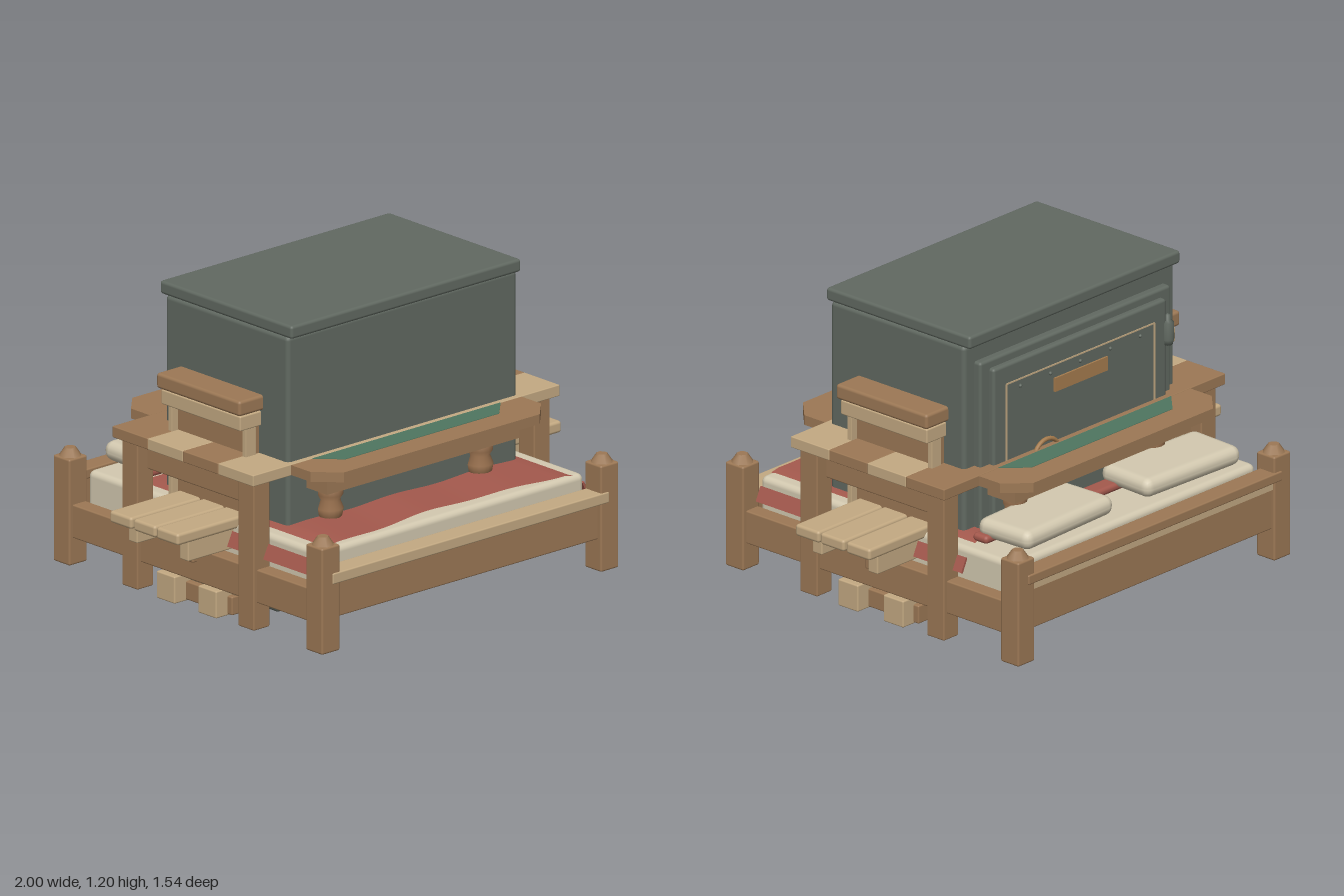
import * as THREE from 'three';
import { RoundedBoxGeometry } from 'three/addons/geometries/RoundedBoxGeometry.js';

const mat = (name, color) => {
  const m = new THREE.MeshStandardMaterial({ color });
  m.name = name;
  return m;
};

export function createModel() {
  const root = new THREE.Group();
  root.name = 'furnitureStack';
  const iron = mat('darkIron', 0x616961), wood = mat('brownWood', 0x9c7855);
  const tan = mat('paleWood', 0xc3a982), cream = mat('creamLinen', 0xd3c9b0);
  const red = mat('redBlanket', 0xa4594d), green = mat('greenFelt', 0x4f7660);
  const turned = mat('turnedWood', 0x9c7350), brass = mat('brass', 0xa67c4e);
  red.side = THREE.DoubleSide;

  const group = (name) => {
    const g = new THREE.Group();
    g.name = name;
    root.add(g);
    return g;
  };
  const add = (g, name, geo, m, x = 0, y = 0, z = 0) => {
    const o = new THREE.Mesh(geo, m);
    o.name = name;
    o.position.set(x, y, z);
    g.add(o);
    return o;
  };
  // Box from its limits, with edges softened by r
  const box = (g, name, m, x0, x1, y0, y1, z0, z1, r = 0.006) => {
    const w = x1 - x0, h = y1 - y0, d = z1 - z0;
    const geo = r ? new RoundedBoxGeometry(w, h, d, 2, r) : new THREE.BoxGeometry(w, h, d);
    return add(g, name, geo, m, (x0 + x1) / 2, (y0 + y1) / 2, (z0 + z1) / 2);
  };
  const lathe = (pts) => new THREE.LatheGeometry(pts.map(([r, y]) => new THREE.Vector2(r, y)), 16);
  // Flat slab with cut corners
  const octagon = (x, z, cut, h) => {
    const a = x - cut, b = z - cut;
    const s = new THREE.Shape([[x, b], [a, z], [-a, z], [-x, b], [-x, -b], [-a, -z], [a, -z], [x, -b]]
      .map(([u, v]) => new THREE.Vector2(u, v)));
    return new THREE.ExtrudeGeometry(s, { depth: h, bevelEnabled: false }).rotateX(-Math.PI / 2);
  };
  const S = [-1, 1];

  // Safe
  const safe = group('safe');
  box(safe, 'body', iron, -0.597, 0.597, 0.12, 1.15, -0.32, 0.378, 0.018);
  box(safe, 'plinth', iron, -0.575, 0.575, 0.085, 0.135, -0.29, 0.29, 0.015);
  box(safe, 'topSlab', iron, -0.598, 0.598, 1.147, 1.2, -0.35, 0.4, 0.012);
  box(safe, 'doorFrame', iron, -0.54, 0.54, 0.2, 1.075, -0.352, -0.3, 0.012);
  box(safe, 'door', iron, -0.49, 0.49, 0.25, 1.04, -0.376, -0.33, 0.012);
  box(safe, 'namePlate', brass, -0.15, 0.15, 0.848, 0.905, -0.384, -0.375, 0);
  for (const y of [0.34, 0.96]) box(safe, 'doorLine', tan, -0.42, 0.42, y - 0.003, y + 0.003, -0.379, -0.375, 0);
  for (const s of S) box(safe, 'doorLine', tan, s * 0.42 - 0.003, s * 0.42 + 0.003, 0.34, 0.96, -0.379, -0.375, 0);
  for (let i = -2; i <= 2; i++) add(safe, 'rivet', new THREE.SphereGeometry(0.008, 8, 6), iron, i * 0.17, 0.93, -0.376);
  add(safe, 'ringHandle', new THREE.TorusGeometry(0.075, 0.009, 8, 24), brass, 0.2, 0.595, -0.385);
  add(safe, 'doorHandle', lathe([[0, -0.065], [0.02, -0.062], [0.026, -0.04], [0.025, 0.03], [0.012, 0.04], [0.012, 0.06], [0, 0.065]]),
    iron, -0.5, 0.91, -0.372);
  for (const s of S) for (const t of S) {
    add(safe, 'foot', new RoundedBoxGeometry(0.21, 0.11, 0.09, 2, 0.015), iron, s * 0.465, 0.06, t * 0.245);
    add(safe, 'coneFoot', lathe([[0, 0], [0.056, 0], [0.054, 0.02], [0.03, 0.07], [0.032, 0.1], [0, 0.1]]), iron, s * 0.2, 0, t * 0.24);
  }

  // Bed frame
  const bed = group('bed');
  for (const s of S) {
    for (const t of S) {
      box(bed, 'post', wood, s * 0.726 - 0.047, s * 0.726 + 0.047, 0, 0.43, t * 0.717 - 0.047, t * 0.717 + 0.047, 0.008);
      const cap = add(bed, 'finial', new THREE.CylinderGeometry(0.022, 0.046, 0.035, 8), wood, s * 0.726, 0.445, t * 0.717);
      cap.rotation.y = Math.PI / 8;
    }
    const a = s * 0.72;
    box(bed, 'sideRail', wood, a - 0.035, a + 0.035, 0.11, 0.245, -0.68, 0.68);
  }
  box(bed, 'frontRail', wood, -0.69, 0.69, 0.13, 0.275, 0.685, 0.745);
  box(bed, 'frontCap', tan, -0.72, 0.72, 0.275, 0.32, 0.675, 0.768);
  box(bed, 'backRail', wood, -0.69, 0.69, 0.13, 0.33, -0.75, -0.69);
  box(bed, 'backStrip', tan, -0.685, 0.685, 0.295, 0.325, -0.757, -0.7, 0);
  box(bed, 'backCap', wood, -0.72, 0.72, 0.325, 0.365, -0.77, -0.685);
  box(bed, 'mattress', cream, -0.69, 0.69, 0.13, 0.375, -0.66, 0.66, 0.025);

  // Blanket with a curved foot edge, sloping side strips and a folded head
  const sheet = new THREE.PlaneGeometry(1.27, 1.05, 32, 16).rotateX(-Math.PI / 2);
  const p = sheet.attributes.position;
  for (let i = 0; i < p.count; i++) {
    const x = p.getX(i), k = (p.getZ(i) + 0.525) / 1.05;
    p.setZ(i, -0.41 + k * (1.04 + 0.02 * Math.cos(x * 5 + Math.PI)));
    p.setY(i, Math.abs(x) > 0.62 ? 0.374 : 0.386 + 0.004 * Math.sin(x * 14 + k * 3));
  }
  sheet.computeVertexNormals();
  add(bed, 'blanket', sheet, red);
  box(bed, 'blanketFold', red, -0.64, 0.64, 0.385, 0.418, -0.475, -0.4, 0.015);
  for (const s of S) {
    const flap = box(bed, 'blanketSide', red, s * 0.705 - 0.005, s * 0.705 + 0.005, 0.275, 0.338, -0.42, 0.65, 0);
    flap.rotation.z = s * 0.45;
    const pillow = box(bed, 'pillow', cream, s * 0.355 - 0.26, s * 0.355 + 0.26, 0.395, 0.475, -0.655, -0.39, 0.037);
    pillow.rotation.y = s * 0.04;
  }

  // Card table
  const table = group('cardTable');
  add(table, 'tableTop', octagon(0.6, 0.6, 0.09, 0.04), wood, 0, 0.6, 0);
  add(table, 'felt', octagon(0.49, 0.49, 0.09, 0.004), green, 0, 0.638, 0);
  box(table, 'apron', wood, -0.5, 0.5, 0.52, 0.602, -0.495, 0.495, 0);
  const leg = lathe([[0, 0], [0.042, 0], [0.045, 0.02], [0.03, 0.09], [0.042, 0.14], [0.03, 0.2], [0.03, 0.36],
    [0.048, 0.39], [0.054, 0.42], [0.04, 0.455], [0.052, 0.475], [0.052, 0.525], [0, 0.525]]);
  for (const s of S) for (const t of S) add(table, 'turnedLeg', leg, turned, s * 0.39, 0, t * 0.39);

  // Plank workbench
  const bench = group('workbench');
  [wood, tan, wood, tan].forEach((m, i) => box(bench, 'topBoard', m, -0.798, 0.798, 0.597, 0.643, -0.4 + i * 0.2, -0.2 + i * 0.2, 0.004));
  for (const s of S) {
    for (const t of S) box(bench, 'leg', wood, s * 0.73 - 0.042, s * 0.73 + 0.042, 0, 0.6, t * 0.33 - 0.045, t * 0.33 + 0.045);
    const a = s * 0.7;
    box(bench, 'endApron', wood, a - 0.02, a + 0.02, 0.48, 0.6, -0.3, 0.3);
  }

  // Slatted side seats on bearers
  const seat = group('slattedSeat');
  for (const z of [-0.135, 0, 0.13]) box(seat, 'plank', tan, -1, 1, 0.35, 0.398, z - 0.062, z + 0.062, 0.012);
  for (const t of S) {
    box(seat, 'bearer', tan, -0.925, 0.925, 0.265, 0.35, t * 0.145 - 0.025, t * 0.145 + 0.025);
    box(seat, 'innerBearer', tan, -0.87, 0.87, 0.3, 0.35, t * 0.1 - 0.03, t * 0.1 + 0.03);
    for (const s of S) box(seat, 'foot', tan, s * 0.735 - 0.045, s * 0.735 + 0.045, 0, 0.11, t * 0.118 - 0.052, t * 0.118 + 0.052);
  }
  for (const s of S) box(seat, 'peg', wood, s * 0.75 - 0.025, s * 0.75 + 0.025, 0.19, 0.25, -0.033, 0.033);

  // Stepped pedestal
  const ped = group('pedestal');
  box(ped, 'cap', wood, -0.72, 0.72, 0.82, 0.882, -0.237, 0.237, 0.012);
  box(ped, 'upperMoulding', tan, -0.705, 0.705, 0.755, 0.815, -0.225, 0.225);
  box(ped, 'core', wood, -0.64, 0.64, 0.1, 0.82, -0.215, 0.215);
  for (const s of S) for (const t of S)
    box(ped, 'cornerPost', tan, s * 0.645 - 0.027, s * 0.645 + 0.027, 0.1, 0.76, t * 0.21 - 0.011, t * 0.21 + 0.011, 0.003);
  box(ped, 'lowerMoulding', tan, -0.7, 0.7, 0.08, 0.11, -0.195, 0.195);
  box(ped, 'base', wood, -0.72, 0.72, 0.005, 0.08, -0.195, 0.195);
  return root;
}
